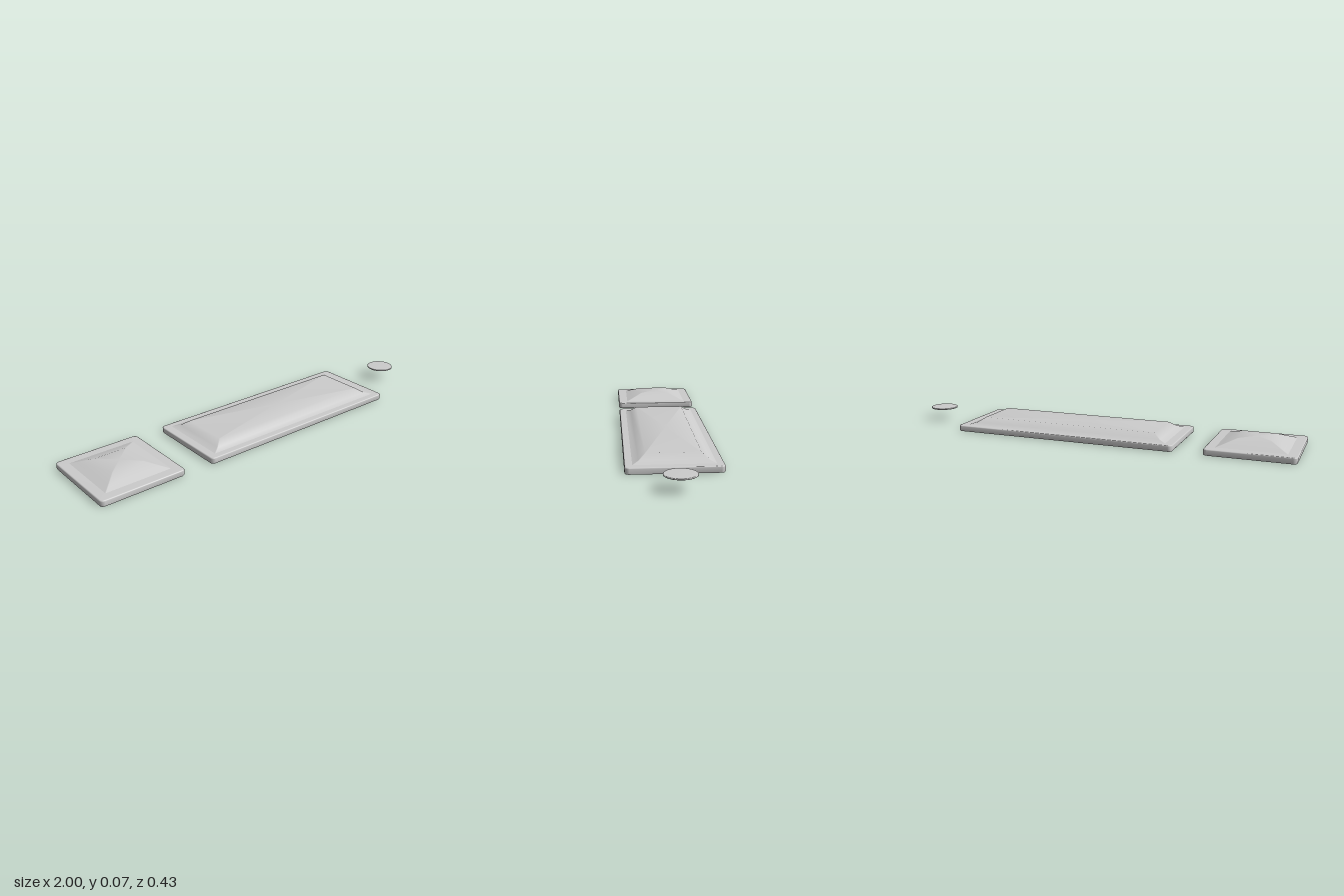
import * as THREE from 'three';

const material = new THREE.MeshStandardMaterial({ color: 0xcccccc });

// Outline of a rounded rectangle, ordered counter-clockwise seen from above
function ringPoints(halfX, halfZ, radius, y, segments = 5) {
  const points = [];
  const corners = [[1, -1], [-1, -1], [-1, 1], [1, 1]];
  corners.forEach(([sx, sz], c) => {
    for (let i = 0; i <= segments; i++) {
      const a = (c + i / segments) * Math.PI / 2;
      points.push([
        sx * (halfX - radius) + radius * Math.cos(a), y,
        sz * (halfZ - radius) - radius * Math.sin(a),
      ]);
    }
  });
  return points;
}

// Stack rings [halfX, halfZ, radius, y] from bottom to top and cap the top
function loft(rings, closeBottom) {
  const loops = rings.map(r => ringPoints(...r));
  const n = loops[0].length;
  const positions = loops.flat(2);
  const index = [];
  for (let k = 0; k < loops.length - 1; k++) {
    for (let i = 0; i < n; i++) {
      const a = k * n + i, b = k * n + (i + 1) % n;
      index.push(a, b, b + n, a, b + n, a + n);
    }
  }
  const top = (loops.length - 1) * n;
  const topCentre = positions.length / 3;
  positions.push(0, rings.at(-1)[3], 0);
  for (let i = 0; i < n; i++) index.push(topCentre, top + i, top + (i + 1) % n);

  // The underside has its own vertices so its edge stays crisp
  if (closeBottom) {
    const start = positions.length / 3;
    positions.push(...loops[0].flat(), 0, rings[0][3], 0);
    for (let i = 0; i < n; i++) index.push(start + n, start + (i + 1) % n, start + i);
  }
  const geometry = new THREE.BufferGeometry();
  geometry.setAttribute('position', new THREE.Float32BufferAttribute(positions, 3));
  geometry.setIndex(index);
  geometry.computeVertexNormals();
  return geometry;
}

function addMesh(parent, name, geometry) {
  const mesh = new THREE.Mesh(geometry, material);
  mesh.name = name;
  parent.add(mesh);
  return mesh;
}

// A softened slab carrying a flared raised panel; panel is [foot, bend, top] half sizes
function createPlate(name, x, halfX, halfZ, panel) {
  const plate = new THREE.Group();
  plate.name = name;
  plate.position.x = x;
  addMesh(plate, 'slab', loft([
    [halfX - 0.003, halfZ - 0.003, 0.017, 0],
    [halfX, halfZ, 0.02, 0.004],
    [halfX, halfZ, 0.02, 0.025],
    [halfX - 0.002, halfZ - 0.002, 0.018, 0.0285],
    [halfX - 0.006, halfZ - 0.006, 0.014, 0.03],
  ], true));
  const heights = [0.03, 0.039, 0.062];
  addMesh(plate, 'raisedPanel',
    loft(panel.map(([px, pz], i) => [px, pz, 0.003, heights[i]]), false));
  return plate;
}

export function createModel() {
  const model = new THREE.Group();
  model.name = 'panelSet';

  model.add(createPlate('squarePlate', -0.787, 0.213, 0.214,
    [[0.165, 0.165], [0.14, 0.14], [0.079, 0.079]]));
  model.add(createPlate('longPlate', 0.142, 0.571, 0.214,
    [[0.53, 0.18], [0.496, 0.153], [0.461, 0.122]]));

  // Thin round disc with a softened rim
  const profile = [[0, 0.064], [0.067, 0.064], [0.07, 0.066], [0.07, 0.07], [0.067, 0.072], [0, 0.072]]
    .map(([r, y]) => new THREE.Vector2(r, y));
  addMesh(model, 'disc', new THREE.LatheGeometry(profile, 48)).position.x = 0.93;

  return model;
}
